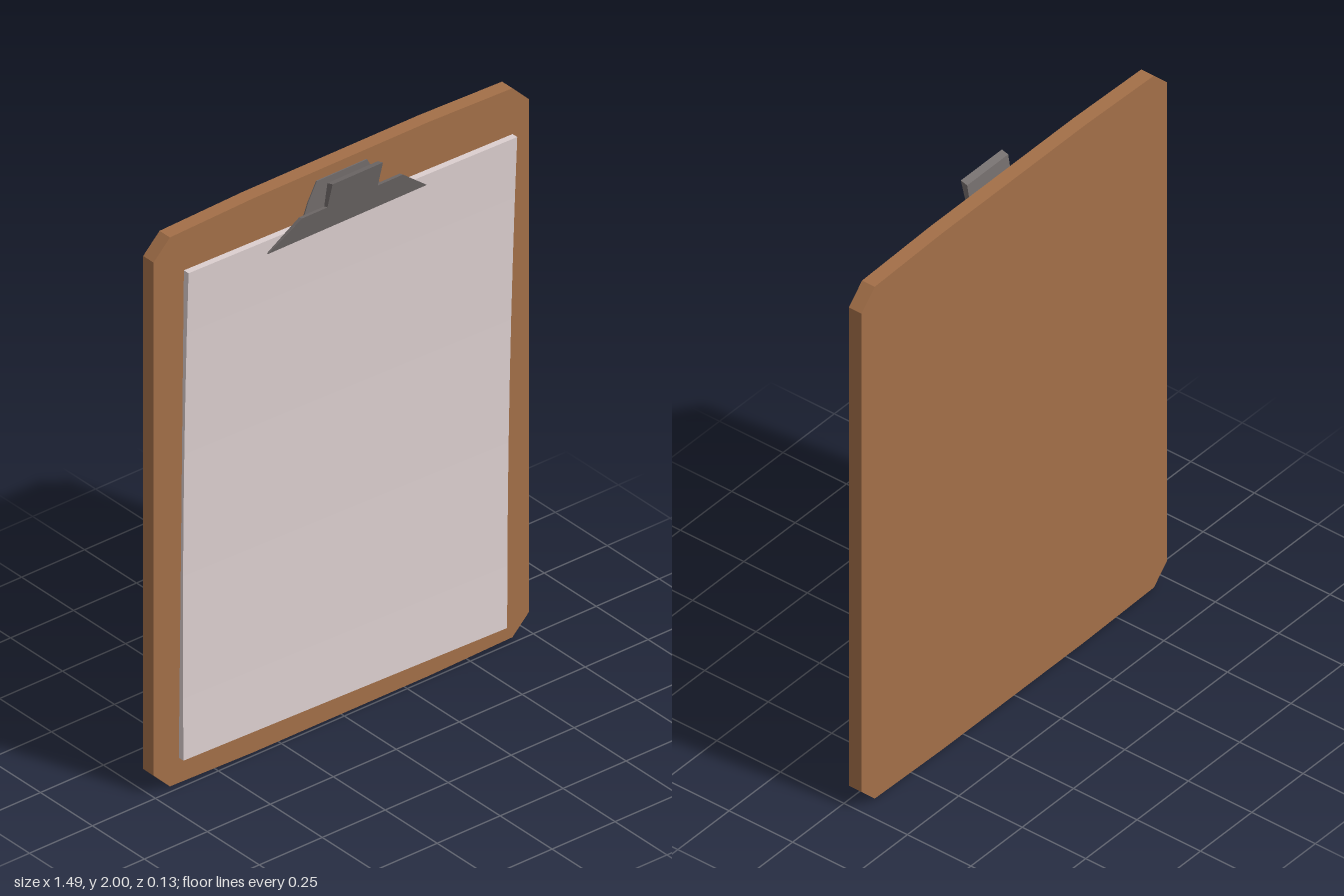
import * as THREE from 'three';

const paint = (name, color) => {
  const m = new THREE.MeshStandardMaterial({ color });
  m.name = name;
  return m;
};

// Flat plate from an outline, between two z values
function plate(points, back, front) {
  const shape = new THREE.Shape(points.map(([x, y]) => new THREE.Vector2(x, y)));
  const g = new THREE.ExtrudeGeometry(shape, { depth: front - back, bevelEnabled: false });
  return g.translate(0, 0, back);
}

// Mirror the right half of an outline (bottom to top) to close it
const mirrored = half => [...half, ...half.slice().reverse().map(([x, y]) => [-x, y])];

// Move each vertex by a rule, keeping faces flat
function reshape(g, rule) {
  const p = g.attributes.position;
  const v = new THREE.Vector3();
  for (let i = 0; i < p.count; i++) {
    rule(v.fromBufferAttribute(p, i));
    p.setXYZ(i, v.x, v.y, v.z);
  }
  g = g.index ? g.toNonIndexed() : g;
  g.computeVertexNormals();
  return g;
}

export function createModel() {
  const wood = paint('brown hardboard', 0xa36f48);
  const paper = paint('pale paper', 0xdccfcf);
  const metal = paint('grey metal', 0x726c6b);
  const model = new THREE.Group();
  model.name = 'clipboard';
  const add = (name, geometry, material, parent = model) => {
    const mesh = new THREE.Mesh(geometry, material);
    mesh.name = name;
    parent.add(mesh);
    return mesh;
  };

  // Board with cut corners and slightly bowed ends
  const board = mirrored([
    [0.35, 0.002], [0.68, 0.01], [0.745, 0.075],
    [0.745, 1.925], [0.68, 1.99], [0.35, 2],
  ]);
  add('board', plate(board, -0.065, -0.015), wood);

  // Paper stack: skewed sheet whose front sags in the middle
  const sheet = new THREE.BoxGeometry(1, 1, 1, 1, 8, 1);
  add('paperStack', reshape(sheet, v => {
    const t = v.y + 0.5;
    const left = [THREE.MathUtils.lerp(-0.645, -0.625, t), THREE.MathUtils.lerp(0.10, 1.85, t)];
    const right = [THREE.MathUtils.lerp(0.64, 0.68, t), THREE.MathUtils.lerp(0.07, 1.825, t)];
    const s = v.x + 0.5;
    v.x = THREE.MathUtils.lerp(left[0], right[0], s);
    v.y = THREE.MathUtils.lerp(left[1], right[1], s);
    v.z = v.z > 0 ? -0.004 + 0.012 * (2 * t - 1) ** 2 : -0.0145;
  }), paper);

  // Clip
  const clip = new THREE.Group();
  clip.name = 'clip';
  model.add(clip);

  // Leaning jaw with a thumb tab, thinner at the gripping edge
  const jaw = plate(mirrored([[0.315, 1.8], [0.2, 1.895], [0.1, 1.895], [0.1, 1.99]]), 0, 1);
  add('jaw', reshape(jaw, v => {
    const t = (v.y - 1.8) / 0.19;
    if (v.z < 0.5) {
      v.z = 0.009 + 0.031 * t;
      v.y -= 0.007 * t;
    } else v.z = 0.015 + 0.05 * t;
  }), metal, clip);

  // Mounting plate lying on the board
  add('mountingPlate', plate(mirrored([[0.15, 1.86], [0.135, 1.9], [0.1, 1.965]]), -0.0155, -0.011), metal, clip);

  // Struts joining the jaw to the board
  for (const [name, y, h, front] of [['upperStrut', 1.9, 0.02, 0.034], ['lowerStrut', 1.835, 0.022, 0.018]]) {
    const g = new THREE.BoxGeometry(0.1, h, front + 0.015);
    add(name, g.translate(0, y, (front - 0.015) / 2), metal, clip);
  }
  return model;
}
